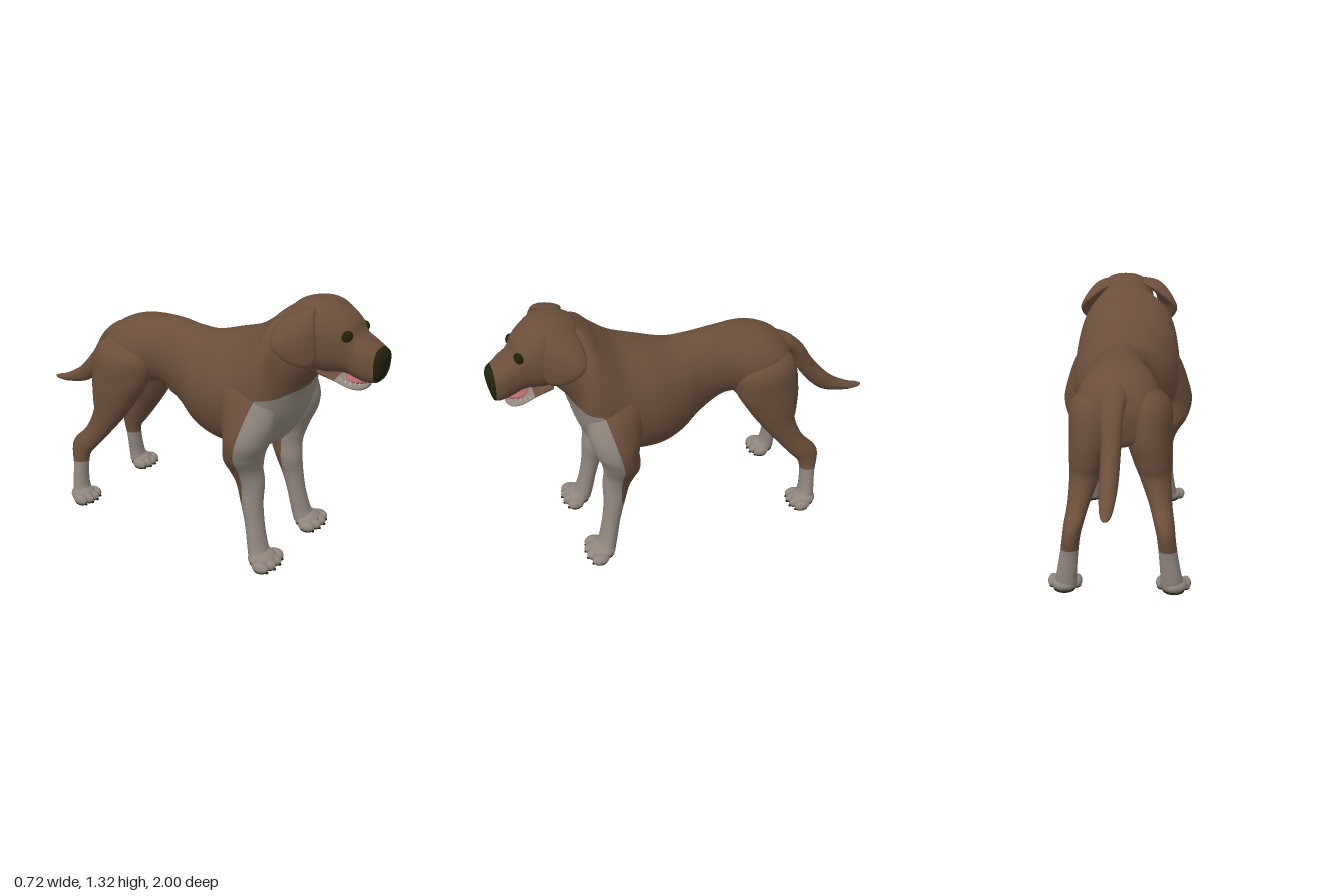
import * as THREE from 'three';

const mat = (name, color) => {
  const m = new THREE.MeshStandardMaterial({ color });
  m.name = name;
  return m;
};

// Smooth interpolation of one number through four neighbours
const spline = (a, b, c, d, t) =>
  b + 0.5 * t * (c - a + t * (2 * a - 5 * b + 4 * c - d + t * (3 * (b - c) + d - a)));
const bend = (v, p) => Math.sign(v) * Math.abs(v) ** p;

// Skin swept through oval sections. Each key is
// [z1, y1, z2, y2, halfWidth, x, skew, power]: two opposite outline points in
// profile, the sideways half width and centre, how far x leans between the
// points, and the section's squareness (1 is an ellipse, less is boxier).
// Where split(x, y, z) is positive the second material is used, with a clean edge.
function loft(name, keys, materials, { sub = 10, seg = 48, side = 1, split = () => -1 } = {}) {
  const pos = [], rows = [], n = keys.length, defaults = [0, 0, 0, 0, 0, 0, 0, 1];
  for (let i = 0; i < n - 1; i++) {
    for (let s = 0; s < sub + (i === n - 2 ? 1 : 0); s++) {
      const k = [i - 1, i, i + 1, i + 2].map(j => keys[Math.min(n - 1, Math.max(0, j))]);
      rows.push(defaults.map((d, c) => spline(...k.map(q => q[c] ?? d), s / sub)));
    }
  }
  for (const [z1, y1, z2, y2, w, x, skew, p] of rows) {
    for (let j = 0; j < seg; j++) {
      const a = (j / seg) * Math.PI * 2, v = bend(Math.sin(a), p);
      pos.push(side * (x + w * bend(Math.cos(a), p) - skew * v),
        (y1 + y2) / 2 + v * (y1 - y2) / 2, (z1 + z2) / 2 + v * (z1 - z2) / 2);
    }
  }
  const first = pos.length / 3, last = first + 1;
  for (const r of [rows[0], rows[rows.length - 1]]) pos.push(side * r[5], (r[1] + r[3]) / 2, (r[0] + r[2]) / 2);

  const tris = [];
  for (let j = 0; j < seg; j++) {
    const k = (j + 1) % seg, end = (rows.length - 1) * seg;
    tris.push([first, k, j], [last, end + j, end + k]);
    for (let i = 0; i < rows.length - 1; i++) {
      const a = i * seg + j, b = i * seg + k;
      tris.push([a, b, b + seg], [a, b + seg, a + seg]);
    }
  }
  // Turn all faces outward, whichever way the sections run
  const at = i => new THREE.Vector3(pos[3 * i], pos[3 * i + 1], pos[3 * i + 2]);
  const origin = at(first);
  let volume = 0;
  for (const t of tris) {
    const [a, b, c] = t.map(i => at(i).sub(origin));
    volume += a.dot(b.cross(c));
  }
  // Cut faces along the colour edge and sort them by material
  const buckets = [[], []], cuts = new Map();
  const value = i => split(...at(i).toArray());
  const cut = (i, j) => {
    const key = Math.min(i, j) + '_' + Math.max(i, j);
    if (!cuts.has(key)) {
      const vi = value(i), p = at(i).lerp(at(j), vi / (vi - value(j)));
      cuts.set(key, pos.push(p.x, p.y, p.z) / 3 - 1);
    }
    return cuts.get(key);
  };
  for (const t of tris) {
    const face = volume < 0 ? [t[0], t[2], t[1]] : t;
    const on = face.map(i => (value(i) > 0 ? 1 : 0)), total = on[0] + on[1] + on[2];
    if (total % 3 === 0) {
      buckets[on[0]].push(...face);
      continue;
    }
    const odd = on.indexOf(total === 1 ? 1 : 0);
    const [a, b, c] = [0, 1, 2].map(k => face[(odd + k) % 3]);
    const ab = cut(a, b), ac = cut(a, c);
    buckets[on[odd]].push(a, ab, ac);
    buckets[1 - on[odd]].push(ab, b, c, ab, c, ac);
  }
  const geo = new THREE.BufferGeometry();
  geo.setAttribute('position', new THREE.Float32BufferAttribute(pos, 3));
  geo.setIndex(buckets.flat());
  geo.addGroup(0, buckets[0].length, 0);
  if (buckets[1].length) geo.addGroup(buckets[0].length, buckets[1].length, 1);
  geo.computeVertexNormals();
  const mesh = new THREE.Mesh(geo, materials);
  mesh.name = name;
  return mesh;
}

function ball(name, material, p, r) {
  const m = new THREE.Mesh(new THREE.SphereGeometry(1, 24, 16), material);
  m.position.set(...p);
  m.scale.set(...r);
  m.name = name;
  return m;
}

export function createModel() {
  const dog = new THREE.Group();
  dog.name = 'dog';
  const brown = mat('brown coat', 0x6b4f3b), white = mat('pale coat', 0x8f857d);
  const dark = mat('dark nose and pads', 0x22210a), pink = mat('pink tongue', 0xb56a6c);
  const teethMat = mat('teeth', 0xb8b2a4);
  const coat = [brown, white];

  // Pale bib on the chest and down the front of the forelegs
  const bib = (x, y, z) =>
    Math.max(0.31 - y, Math.min(0.87 - y, z - 0.457 - Math.max(0, y - 0.58) * 0.22));

  // Trunk and neck, rump to throat
  dog.add(loft('body', [
    [-0.535, 0.87, -0.535, 0.77, 0.05, 0.01],
    [-0.485, 0.97, -0.51, 0.69, 0.15, 0.01],
    [-0.40, 1.025, -0.40, 0.68, 0.195, 0.01],
    [-0.29, 1.055, -0.27, 0.70, 0.19, 0.01],
    [-0.12, 1.065, -0.15, 0.70, 0.147, 0.015],
    [0.0, 1.052, -0.02, 0.625, 0.165, 0.01],
    [0.11, 1.045, 0.10, 0.55, 0.225, 0.01],
    [0.25, 1.085, 0.22, 0.515, 0.27, 0.01],
    [0.38, 1.13, 0.38, 0.52, 0.285, 0],
    [0.47, 1.19, 0.52, 0.575, 0.28, 0, 0, 0.9],
    [0.52, 1.235, 0.595, 0.71, 0.255, 0, 0, 0.85],
    [0.56, 1.265, 0.625, 0.86, 0.20, 0.01, 0, 0.9],
    [0.60, 1.28, 0.69, 0.95, 0.165, 0.015],
    [0.66, 1.28, 0.75, 1.0, 0.12, 0.02],
  ], coat, { sub: 12, seg: 80, split: bib }));

  const fold = ball('bellyFold', brown, [0.005, 0.685, -0.13], [0.026, 0.03, 0.072]);
  fold.rotation.x = 0.55;
  dog.add(fold);

  dog.add(loft('tail', [
    [-0.42, 1.0, -0.45, 0.90, 0.05, 0.02],
    [-0.52, 0.962, -0.515, 0.87, 0.058, 0.025],
    [-0.61, 0.885, -0.555, 0.83, 0.052, 0.03],
    [-0.69, 0.765, -0.615, 0.71, 0.046, 0.03],
    [-0.80, 0.645, -0.735, 0.58, 0.042, 0.033],
    [-0.91, 0.577, -0.88, 0.533, 0.032, 0.035],
    [-0.975, 0.553, -0.975, 0.528, 0.02, 0.035],
    [-1.0, 0.542, -1.0, 0.535, 0.005, 0.035],
  ], coat, { seg: 24 }));

  // Skull and muzzle, turned slightly to the left, with a dark nose
  dog.add(loft('head', [
    [0.53, 1.22, 0.60, 1.02, 0.10, 0.01],
    [0.58, 1.285, 0.66, 1.0, 0.14, 0.015, 0, 0.9],
    [0.66, 1.314, 0.72, 0.985, 0.155, 0.018, 0, 0.82],
    [0.74, 1.312, 0.77, 0.985, 0.152, 0.022, 0, 0.82],
    [0.81, 1.272, 0.81, 0.99, 0.132, 0.028, 0, 0.84],
    [0.855, 1.232, 0.85, 0.985, 0.112, 0.034, 0, 0.85],
    [0.88, 1.185, 0.885, 0.972, 0.10, 0.038, 0, 0.82],
    [0.92, 1.155, 0.93, 0.962, 0.096, 0.043, 0, 0.78],
    [0.963, 1.125, 0.965, 0.963, 0.083, 0.05, 0, 0.72],
    [0.988, 1.108, 0.983, 0.975, 0.07, 0.053, 0, 0.72],
    [1.0, 1.085, 0.994, 1.02, 0.042, 0.055, 0, 0.8],
  ], [brown, dark], { seg: 64, split: (x, y, z) => z - 0.968 - (1.1 - y) * 0.04 }));

  dog.add(loft('lowerJaw', [
    [0.70, 1.01, 0.72, 0.955, 0.085, 0.03],
    [0.78, 0.98, 0.79, 0.945, 0.085, 0.035],
    [0.86, 0.955, 0.86, 0.922, 0.082, 0.042],
    [0.905, 0.945, 0.905, 0.915, 0.062, 0.046],
    [0.925, 0.94, 0.925, 0.925, 0.025, 0.048],
  ], coat, { seg: 32, split: (x, y, z) => z - 0.80 }));
  dog.add(ball('tongue', pink, [0.043, 0.958, 0.866], [0.05, 0.02, 0.062]));

  // Teeth around the rim of the lower jaw
  const teeth = new THREE.Group();
  teeth.name = 'teeth';
  for (let i = 0; i <= 12; i++) {
    const a = (i / 12) * Math.PI, fang = i === 3 || i === 9;
    const tooth = new THREE.Mesh(new THREE.ConeGeometry(0.007, fang ? 0.034 : 0.018, 8), teethMat);
    tooth.position.set(0.043 + 0.07 * Math.cos(a), 0.964 - 0.018 * Math.sin(a), 0.82 + 0.09 * Math.sin(a));
    tooth.name = 'tooth';
    teeth.add(tooth);
  }
  dog.add(teeth);

  for (const side of [1, -1]) {
    const tag = side > 0 ? 'left' : 'right';
    dog.add(ball(tag + 'Eye', dark, [0.031 + side * 0.084, 1.178, 0.848], [0.034, 0.027, 0.025]));

    // Hanging ear flap, folding out from the skull and leaning in at its front edge
    dog.add(loft(tag + 'Ear', [
      [0.70, 1.295, 0.61, 1.275, 0.03, 0.085, 0],
      [0.725, 1.28, 0.585, 1.245, 0.048, 0.14, 0.01],
      [0.745, 1.225, 0.575, 1.19, 0.042, 0.192, 0.03],
      [0.757, 1.16, 0.59, 1.14, 0.033, 0.213, 0.045],
      [0.762, 1.11, 0.64, 1.085, 0.026, 0.203, 0.04],
      [0.755, 1.07, 0.69, 1.055, 0.02, 0.187, 0.02],
      [0.735, 1.045, 0.72, 1.04, 0.007, 0.178, 0],
    ], coat, { side, seg: 32 }));

    // Shoulder, elbow and foreleg
    dog.add(loft(tag + 'Foreleg', [
      [0.47, 0.99, 0.35, 1.01, 0.05, 0.15],
      [0.56, 0.88, 0.30, 0.91, 0.105, 0.18],
      [0.59, 0.76, 0.325, 0.75, 0.125, 0.212],
      [0.575, 0.66, 0.355, 0.64, 0.132, 0.226],
      [0.54, 0.57, 0.35, 0.54, 0.115, 0.218],
      [0.522, 0.48, 0.365, 0.47, 0.088, 0.195],
      [0.53, 0.40, 0.395, 0.40, 0.074, 0.184],
      [0.535, 0.30, 0.43, 0.30, 0.06, 0.197],
      [0.55, 0.20, 0.46, 0.20, 0.055, 0.205],
      [0.575, 0.10, 0.485, 0.09, 0.06, 0.215],
      [0.60, 0.05, 0.50, 0.03, 0.066, 0.222],
    ], coat, { side, seg: 56, split: bib }));

    // Thigh, hock and hind leg
    dog.add(loft(tag + 'HindLeg', [
      [-0.29, 0.965, -0.42, 0.97, 0.03, 0.09],
      [-0.20, 0.86, -0.515, 0.88, 0.11, 0.122],
      [-0.205, 0.74, -0.545, 0.72, 0.112, 0.132],
      [-0.27, 0.62, -0.535, 0.60, 0.094, 0.15],
      [-0.33, 0.53, -0.525, 0.53, 0.076, 0.165],
      [-0.42, 0.415, -0.565, 0.425, 0.055, 0.19],
      [-0.49, 0.33, -0.637, 0.345, 0.047, 0.21],
      [-0.54, 0.27, -0.65, 0.29, 0.043, 0.22],
      [-0.555, 0.20, -0.635, 0.20, 0.044, 0.23],
      [-0.55, 0.10, -0.63, 0.10, 0.049, 0.243],
      [-0.53, 0.05, -0.625, 0.03, 0.056, 0.25],
    ], coat, { side, split: (x, y) => 0.225 - y }));

    // Paws with four toes, claws and dark pads
    for (const [name, px, z, s] of [['FrontPaw', 0.228, 0.573, 1], ['HindPaw', 0.257, -0.562, 0.8]]) {
      const paw = new THREE.Group(), x = side * px;
      paw.name = tag + name;
      paw.add(ball('paw', white, [x, 0.039, z - 0.005], [0.08 * s, 0.038, 0.066]));
      paw.add(ball('heelPad', dark, [x, 0.012, z - 0.015], [0.065 * s, 0.012, 0.05]));
      for (const o of [-0.072, -0.025, 0.025, 0.072]) {
        const tx = x + o * s, tz = z + 0.047 - Math.abs(o) * 0.3;
        paw.add(ball('toe', white, [tx, 0.03, tz], [0.031 * s, 0.028, 0.044]));
        paw.add(ball('toePad', dark, [tx, 0.01, tz], [0.025 * s, 0.01, 0.034]));
        paw.add(ball('claw', dark, [tx, 0.014, tz + 0.036], [0.007, 0.008, 0.011]));
      }
      dog.add(paw);
    }
  }
  return dog;
}
